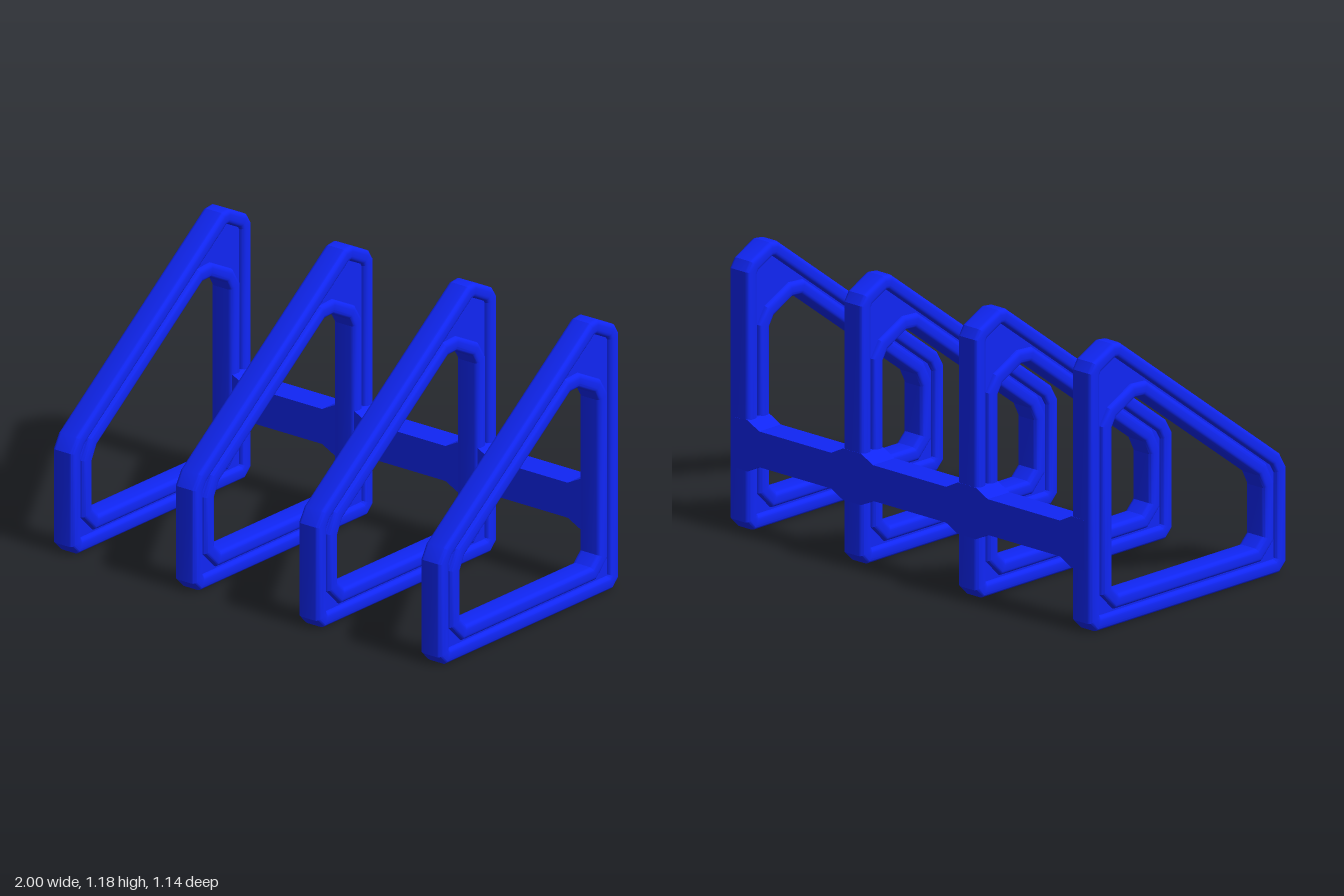
import * as THREE from 'three';
import { toCreasedNormals } from 'three/addons/utils/BufferGeometryUtils.js';

// Frame outline and opening as matching [z, y] corners, counter-clockwise
const OUTER = [[0.57, 0.44], [0.535, 0.5], [-0.385, 1.18], [-0.43, 1.185], [-0.54, 1.13],
  [-0.565, 1.09], [-0.565, 0.04], [-0.525, 0], [0.53, 0], [0.57, 0.04]];
const HOLE = [[0.44, 0.375], [0.41, 0.435], [-0.255, 0.925], [-0.305, 0.928], [-0.41, 0.875],
  [-0.435, 0.835], [-0.435, 0.17], [-0.395, 0.13], [0.4, 0.13], [0.44, 0.17]];
const HALF = 0.055, RIM = 0.06, ROUND = 0.02;
const FRAME_X = [-0.945, -0.317, 0.317, 0.945];

// Mitred inward offset of a loop (negative d goes outward)
function offset(loop, d) {
  const n = loop.length;
  const normal = (a, b) => {
    const dx = b[0] - a[0], dy = b[1] - a[1], l = Math.hypot(dx, dy);
    return [-dy / l, dx / l];
  };
  return loop.map((p, i) => {
    const n1 = normal(loop[(i + n - 1) % n], p);
    const n2 = normal(p, loop[(i + 1) % n]);
    const k = d / (1 + n1[0] * n2[0] + n1[1] * n2[1]);
    return [p[0] + (n1[0] + n2[0]) * k, p[1] + (n1[1] + n2[1]) * k];
  });
}

// Rounded raised rim: pairs of [inset, x] from the edge to the recessed web
function rimProfile() {
  const up = [];
  for (let i = 0; i <= 4; i++) {
    const a = i * Math.PI / 8;
    up.push([ROUND * (1 - Math.cos(a)), HALF - ROUND + ROUND * Math.sin(a)]);
  }
  return [...up, ...up.map(([t, x]) => [RIM - t, x]).reverse()];
}

// Side frame: one closed cross-section swept around outline and opening
function frameGeometry() {
  const rim = rimProfile();
  const side = [
    ...rim.map(([t, x]) => ({ x, loop: offset(OUTER, t) })),
    ...rim.map(([t, x]) => ({ x, loop: offset(HOLE, -t) })).reverse(),
  ];
  const rings = [...side, ...side.map(({ x, loop }) => ({ x: -x, loop })).reverse()];
  const n = OUTER.length, m = rings.length;
  const pos = [], index = [];
  rings.forEach(({ x, loop }, s) => {
    loop.forEach(([z, y], i) => {
      pos.push(x, y, z);
      const s2 = (s + 1) % m, i2 = (i + 1) % n;
      const a = s * n + i, b = s2 * n + i, c = s2 * n + i2, d = s * n + i2;
      index.push(a, b, c, a, c, d);
    });
  });
  const g = new THREE.BufferGeometry();
  g.setAttribute('position', new THREE.Float32BufferAttribute(pos, 3));
  g.setIndex(index);
  return toCreasedNormals(g, 0.45);
}

// Rear crossbar, flared where it meets each frame
function crossbarGeometry() {
  const y0 = 0.29, y1 = 0.44, flare = 0.03, reach = 0.06;
  const top = [];
  FRAME_X.forEach((x, i) => {
    const left = i === 0 ? [[x - 0.02, y1 + flare]]
      : [[x - HALF - reach, y1], [x - HALF + 0.005, y1 + flare + 0.003]];
    const right = i === 3 ? [[x + 0.02, y1 + flare]]
      : [[x + HALF - 0.005, y1 + flare + 0.003], [x + HALF + reach, y1]];
    top.push(...left, ...right);
  });
  const bottom = top.map(([x, y]) => [x, y0 + y1 - y]).reverse();
  const shape = new THREE.Shape([...bottom, ...top].map(([x, y]) => new THREE.Vector2(x, y)));
  const g = new THREE.ExtrudeGeometry(shape, { depth: 0.125, bevelEnabled: false });
  g.translate(0, 0, -0.566);
  return g;
}

export function createModel() {
  const group = new THREE.Group();
  group.name = 'rack';
  const blue = new THREE.MeshStandardMaterial({ color: 0x1026f5 });

  const frame = frameGeometry();
  FRAME_X.forEach((x, i) => {
    const mesh = new THREE.Mesh(frame, blue);
    mesh.name = `sideFrame${i + 1}`;
    mesh.position.x = x;
    group.add(mesh);
  });

  const bar = new THREE.Mesh(crossbarGeometry(), blue);
  bar.name = 'rearCrossbar';
  group.add(bar);
  return group;
}
